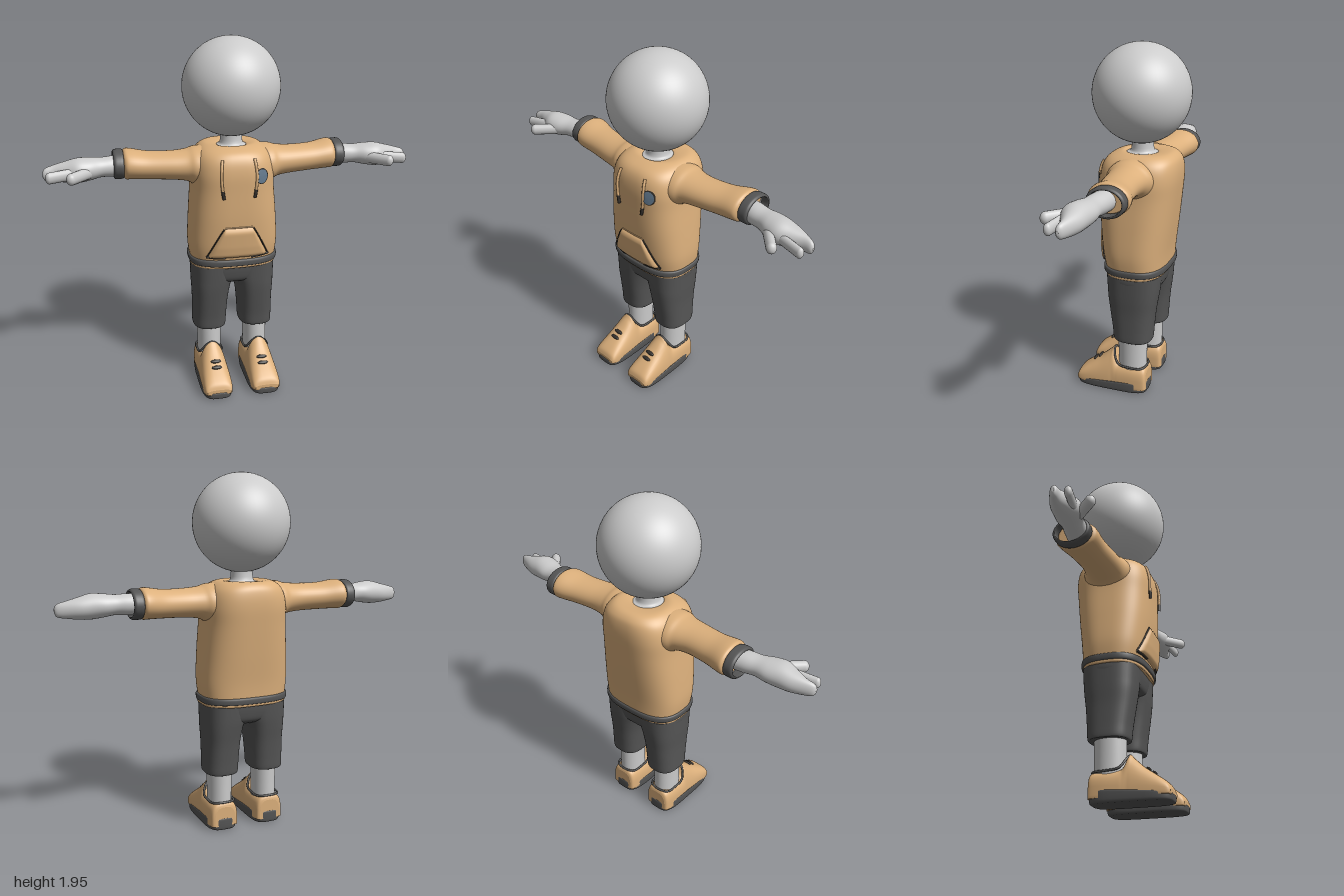
import * as THREE from 'three';

const mat = (color) => new THREE.MeshStandardMaterial({ color });
const skin = mat(0xcccccc), tan = mat(0xdcb07c), dark = mat(0x555555);
const black = mat(0x332f2b), blue = mat(0x62788c);

const V = (x, y, z) => new THREE.Vector3(x, y, z);

// Smooth interpolation through a list of rows
function sample(rows, u) {
  const i = Math.min(Math.floor(u), rows.length - 2), f = u - i;
  const [p, q, r, s] = [-1, 0, 1, 2].map((k) => rows[THREE.MathUtils.clamp(i + k, 0, rows.length - 1)]);
  return q.map((_, k) => q[k] + 0.5 * f * (r[k] - p[k]
    + f * (2 * p[k] - 5 * q[k] + 4 * r[k] - s[k] + f * (3 * (q[k] - r[k]) + s[k] - p[k]))));
}

// Superellipse sections [t, a, b, ra, rb, power] along an axis (x: a=y b=z, y: a=x b=z, z: a=x b=y)
function loft(axis, rows, caps = true, steps = 5, seg = 40) {
  const pos = [], idx = [], n = (rows.length - 1) * steps;
  const put = (t, a, b) => pos.push(...(axis === 'x' ? [t, a, b] : axis === 'y' ? [a, t, b] : [a, b, t]));
  const pw = (c, e) => Math.sign(c) * Math.abs(c) ** (2 / e);
  const ring = (r) => {
    for (let j = 0; j < seg; j++) {
      const h = (j / seg) * Math.PI * 2;
      put(r[0], r[1] + r[3] * pw(Math.cos(h), r[5]),
        r[2] + (axis === 'y' ? -1 : 1) * r[4] * pw(Math.sin(h), r[5]));
    }
  };
  for (let i = 0; i <= n; i++) ring(sample(rows, i / steps));
  for (let i = 0; i < n; i++) for (let j = 0; j < seg; j++) {
    const k = (j + 1) % seg, a = i * seg + j, b = i * seg + k;
    idx.push(a, b, b + seg, a, b + seg, a + seg);
  }
  if (caps) [rows[0], rows[rows.length - 1]].forEach((r, e) => {
    const s = pos.length / 3;
    ring(r);
    put(r[0], r[1], r[2]);
    for (let j = 0; j < seg; j++) {
      const k = (j + 1) % seg;
      idx.push(s + seg, ...(e ? [s + j, s + k] : [s + k, s + j]));
    }
  });
  const g = new THREE.BufferGeometry();
  g.setAttribute('position', new THREE.Float32BufferAttribute(pos, 3));
  g.setIndex(idx);
  g.computeVertexNormals();
  return g;
}

// Move every vertex by a rule
function warp(g, rule) {
  const p = g.attributes.position, v = V(0, 0, 0);
  for (let i = 0; i < p.count; i++) {
    rule(v.fromBufferAttribute(p, i));
    p.setXYZ(i, v.x, v.y, v.z);
  }
  g.computeVertexNormals();
  return g;
}

const tube = (pts, r, closed = false) =>
  new THREE.TubeGeometry(new THREE.CatmullRomCurve3(pts, closed), 40, r, 8, closed);

function finger(a, b, r, tall) {
  const d = b.clone().sub(a), g = new THREE.CapsuleGeometry(r, d.length(), 8, 16);
  g.applyQuaternion(new THREE.Quaternion().setFromUnitVectors(V(0, 1, 0), d.normalize()));
  const m = a.clone().add(b).multiplyScalar(0.5);
  return g.scale(1, tall, 1).translate(m.x, m.y, m.z);
}

function flipX(g) {
  const m = g.clone().scale(-1, 1, 1), a = m.index.array;
  for (let i = 0; i < a.length; i += 3) [a[i], a[i + 1]] = [a[i + 1], a[i]];
  return m;
}

const torso = [
  [0.755, 0, -0.03, 0.238, 0.168, 2.8], [0.85, 0, -0.025, 0.246, 0.18, 2.8],
  [1.0, 0, -0.027, 0.238, 0.197, 2.8], [1.15, 0, -0.033, 0.226, 0.208, 2.8],
  [1.25, 0, -0.037, 0.222, 0.213, 2.8], [1.32, 0, -0.042, 0.208, 0.205, 2.7],
  [1.362, 0, -0.05, 0.182, 0.182, 2.5], [1.385, 0, -0.06, 0.14, 0.135, 2.3],
  [1.38, 0, -0.035, 0.085, 0.09, 2], [1.365, 0, -0.035, 0.08, 0.085, 2]];

// Depth of the chest surface at (x, y)
function frontZ(x, y) {
  let i = 0;
  while (i < 6 && torso[i + 1][0] < y) i++;
  const a = torso[i], b = torso[i + 1], f = Math.max(0, (y - a[0]) / (b[0] - a[0]));
  const [, , c, rx, rz, n] = a.map((q, k) => q + (b[k] - q) * f);
  return c + rz * Math.max(0, 1 - Math.abs(x / rx) ** n) ** (1 / n);
}
const onChest = (x, y, d) => V(x, y, frontZ(x, y) + d);

export function createModel() {
  const model = new THREE.Group();
  const add = (name, g, m) => {
    const mesh = new THREE.Mesh(g, m);
    mesh.name = name;
    model.add(mesh);
  };
  const pair = (name, g, m) => {
    add(name + 'Left', g, m);
    add(name + 'Right', flipX(g), m);
  };

  // Head and neck, flaring into the neckline
  add('head', new THREE.SphereGeometry(0.262, 64, 40).translate(0, 1.687, -0.03), skin);
  add('neck', loft('y', [[1.34, 0, -0.035, 0.1, 0.1, 2], [1.372, 0, -0.035, 0.084, 0.088, 2],
    [1.39, 0, -0.035, 0.062, 0.062, 2], [1.47, 0, -0.035, 0.058, 0.058, 2]]), skin);

  // Hoodie body and hem band
  add('hoodieBody', loft('y', torso, false, 6, 64), tan);
  add('hemBand', loft('y', [[0.732, 0, -0.028, 0.236, 0.168, 2.8], [0.736, 0, -0.028, 0.246, 0.178, 2.8],
    [0.764, 0, -0.028, 0.248, 0.178, 2.8], [0.77, 0, -0.028, 0.236, 0.166, 2.8]], true, 4, 64), dark);
  add('hemTrim', loft('y', [[0.717, 0, -0.028, 0.236, 0.163, 2.8], [0.722, 0, -0.028, 0.241, 0.168, 2.8],
    [0.735, 0, -0.028, 0.241, 0.169, 2.8]], true, 3, 64), tan);

  // Front pocket, bulging from the belly, with dark seams
  const pocketHalf = (y) => 0.075 + 0.1 * ((0.965 - y) / 0.185) ** 0.9;
  add('pocket', warp(new THREE.PlaneGeometry(2, 1, 32, 20), (v) => {
    const u = v.x, w = v.y + 0.5, y = 0.78 + 0.185 * w;
    const rise = Math.min(1, (1 - Math.abs(u)) * 7, (1 - w) * 6, w * 9);
    v.copy(onChest(u * pocketHalf(Math.min(y, 0.965)), y, -0.006 + 0.026 * Math.sqrt(Math.max(0, rise))));
  }), tan);
  const seam = [0.79, 0.83, 0.88, 0.92, 0.96].map((y) => onChest(pocketHalf(y), y, 0.004));
  pair('pocketSeam', tube(seam, 0.004), black);
  pair('pocketCorner', tube([0.07, 0.11, 0.15, 0.172].map((x) => onChest(x, 0.783 + x * x * 0.3, 0.006)), 0.007), black);
  add('pocketTopSeam', tube([-0.075, -0.03, 0.03, 0.075].map((x) => onChest(x, 0.963, 0)), 0.004), tan);

  // Drawstrings with dark tips, and a plain chest patch
  const cord = (ys) => ys.map((y) => onChest(0.083 + 0.012 * Math.sin((y - 1.13) * 14), y, 0.008));
  pair('drawstring', tube(cord([1.335, 1.3, 1.25, 1.2, 1.165]), 0.008), tan);
  pair('drawstringTip', tube(cord([1.175, 1.155, 1.13]), 0.009), black);
  const patch = (rx, ry, d) => warp(new THREE.CircleGeometry(1, 32),
    (v) => v.copy(onChest(0.123 + v.x * rx, 1.242 + v.y * ry, d)));
  add('chestPatchBorder', patch(0.036, 0.042, 0.008), black);
  add('chestPatch', patch(0.031, 0.037, 0.012), blue);

  // Sleeves and cuffs
  pair('sleeve', loft('x', [[0.1, 1.255, -0.035, 0.12, 0.14, 2], [0.2, 1.268, -0.035, 0.105, 0.13, 2],
    [0.25, 1.274, -0.035, 0.086, 0.11, 2], [0.33, 1.276, -0.037, 0.077, 0.1, 2],
    [0.45, 1.279, -0.053, 0.075, 0.1, 2], [0.54, 1.287, -0.068, 0.081, 0.111, 2],
    [0.572, 1.287, -0.073, 0.08, 0.106, 2], [0.585, 1.287, -0.075, 0.06, 0.08, 2]]), tan);
  pair('cuff', loft('x', [[0.58, 1.287, -0.077, 0.06, 0.08, 2], [0.582, 1.287, -0.077, 0.076, 0.098, 2],
    [0.605, 1.287, -0.077, 0.079, 0.101, 2], [0.627, 1.287, -0.077, 0.077, 0.099, 2],
    [0.632, 1.287, -0.077, 0.064, 0.085, 2], [0.59, 1.287, -0.077, 0.062, 0.083, 2]], false, 4), dark);

  // Forearm running into a mitten-like hand, with index finger and thumb
  pair('hand', loft('x', [[0.56, 1.285, -0.06, 0.054, 0.058, 2], [0.64, 1.285, -0.048, 0.055, 0.06, 2],
    [0.7, 1.285, -0.038, 0.052, 0.06, 2], [0.76, 1.283, -0.027, 0.06, 0.074, 2],
    [0.82, 1.28, -0.019, 0.065, 0.073, 2], [0.88, 1.274, -0.025, 0.056, 0.056, 2],
    [0.94, 1.27, -0.026, 0.044, 0.032, 2], [0.985, 1.267, -0.018, 0.033, 0.019, 2],
    [0.999, 1.267, -0.015, 0.012, 0.007, 2]]), skin);
  pair('indexFinger', finger(V(0.83, 1.272, 0.022), V(0.965, 1.265, 0.047), 0.02, 1.5), skin);
  pair('thumb', finger(V(0.77, 1.272, 0.025), V(0.855, 1.27, 0.113), 0.026, 1.2), skin);

  // Shorts: hips and two legs
  add('shortsHips', loft('y', [[0.605, 0, -0.03, 0.1, 0.09, 2.4], [0.63, 0, -0.03, 0.2, 0.132, 2.6],
    [0.68, 0, -0.03, 0.233, 0.147, 2.7], [0.74, 0, -0.03, 0.234, 0.153, 2.7]]), dark);
  pair('shortsLeg', loft('y', [[0.328, 0.134, -0.033, 0.085, 0.1, 2.6], [0.335, 0.134, -0.033, 0.093, 0.11, 2.6],
    [0.4, 0.132, -0.032, 0.095, 0.116, 2.6], [0.5, 0.128, -0.029, 0.099, 0.128, 2.6],
    [0.58, 0.123, -0.029, 0.108, 0.139, 2.6], [0.64, 0.116, -0.03, 0.117, 0.145, 2.6],
    [0.72, 0.113, -0.03, 0.122, 0.15, 2.6]]), dark);

  // Bare shins
  pair('shin', loft('y', [[0.1, 0.135, -0.028, 0.066, 0.082, 2], [0.25, 0.135, -0.028, 0.067, 0.083, 2],
    [0.42, 0.135, -0.03, 0.07, 0.085, 2]]), skin);

  // Shoes: sloping sole, upper with raised tongue, collar rim and laces
  const sole = loft('y', [[0.004, 0.136, 0.085, 0.076, 0.198, 4], [0.012, 0.136, 0.085, 0.086, 0.209, 4],
    [0.05, 0.136, 0.085, 0.088, 0.211, 4], [0.058, 0.136, 0.085, 0.084, 0.206, 4]]);
  pair('shoeSole', warp(sole, (v) => { v.y *= 1 + (0.085 - v.z) * 1.4; }), dark);
  const upper = [[-0.123, 0.14, 0.06, 3], [-0.11, 0.162, 0.076, 3.5], [-0.05, 0.166, 0.083, 3.5],
    [0.03, 0.17, 0.083, 3], [0.055, 0.192, 0.082, 2.5], [0.078, 0.248, 0.081, 2], [0.1, 0.23, 0.082, 2.1],
    [0.15, 0.184, 0.083, 2.4], [0.2, 0.148, 0.083, 2.6], [0.25, 0.113, 0.081, 2.8],
    [0.28, 0.087, 0.076, 2.8], [0.292, 0.06, 0.066, 2.8]].map(([z, top, hw, n]) => [z, 0.136, 0.045, hw, top - 0.045, n]);
  pair('shoeUpper', warp(loft('z', upper), (v) => { v.y = Math.max(v.y, 0.03); }), tan);
  const rim = [[0, 0.247, 0.076], [0.035, 0.225, 0.07], [0.066, 0.172, 0.035], [0.07, 0.163, -0.03],
    [0.06, 0.162, -0.095], [0, 0.164, -0.115]];
  const back = rim.slice(1, 5).reverse().map(([x, y, z]) => [-x, y, z]);
  pair('shoeCollar', tube([...rim, ...back].map(([x, y, z]) => V(0.136 + x, y, z)), 0.006, true), dark);
  [[0.17, 0.172], [0.2, 0.15]].forEach(([z, y], i) => pair('shoeLace' + (i + 1),
    new THREE.SphereGeometry(1, 20, 12).scale(0.03, 0.008, 0.011).rotateX(0.6).translate(0.133, y, z), black));

  return model;
}
